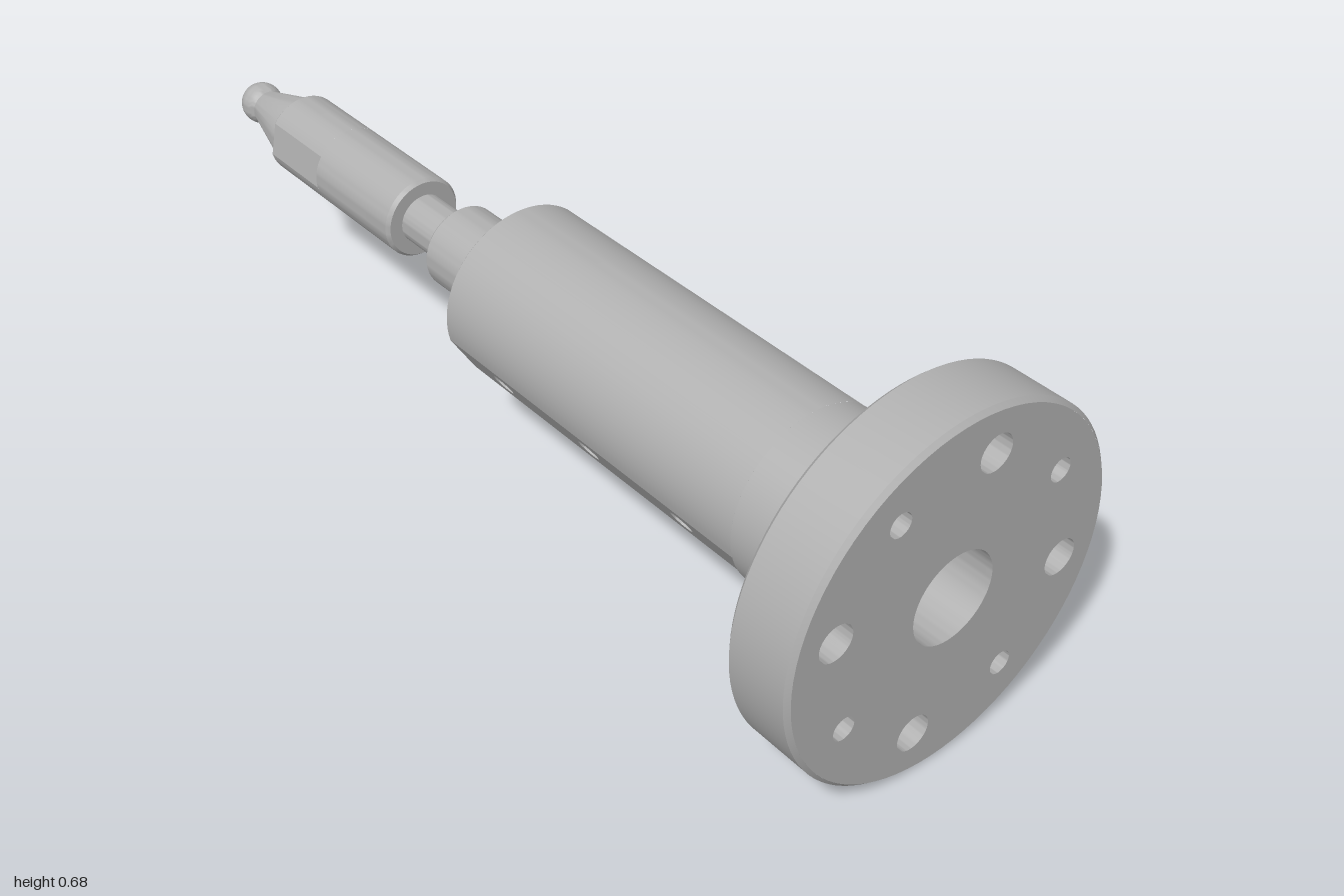
import * as THREE from 'three';
import { toCreasedNormals } from 'three/addons/utils/BufferGeometryUtils.js';

const RAD = Math.PI / 180;

// Turned part along z; points are [radius, z], ascending z faces outward
function turned(points, sides = 64) {
  const g = new THREE.LatheGeometry(points.map(([r, z]) => new THREE.Vector2(r, z)), sides);
  return toCreasedNormals(g.rotateX(Math.PI / 2), 0.45);
}

// Skin through rings [radius, z], with points only at the given angles
function skin(sections, angles) {
  const pos = [], idx = [], n = angles.length;
  for (const [r, z] of sections) for (const t of angles) pos.push(r * Math.cos(t), r * Math.sin(t), z);
  for (let j = 0; j < sections.length - 1; j++) {
    for (let i = 0; i < n - 1; i++) {
      const a = j * n + i, d = a + n;
      idx.push(a, a + 1, d, a + 1, d + 1, d);
    }
  }
  const g = new THREE.BufferGeometry();
  g.setAttribute('position', new THREE.Float32BufferAttribute(pos, 3));
  g.setIndex(idx);
  return toCreasedNormals(g, 0.2);
}

function arc(from, to, steps) {
  return Array.from({ length: steps + 1 }, (_, i) => from + ((to - from) * i) / steps);
}

function circlePath(x, y, r) {
  return new THREE.Path().absarc(x, y, r, 0, Math.PI * 2, true);
}

// Segment wall facing -z where a flat ends
function stepWall(inner, outer, angle, half, z) {
  return new THREE.RingGeometry(inner, outer, 12, 1, Math.PI - angle - half, half * 2)
    .rotateY(Math.PI).translate(0, 0, z);
}

export function createModel() {
  const model = new THREE.Group();
  const steel = new THREE.MeshStandardMaterial({ color: 0xb0b0b0 });
  steel.name = 'steel grey';
  const axis = new THREE.Group();
  axis.name = 'spindleAssembly';
  axis.position.y = 0.34;
  model.add(axis);
  const add = (name, geometry) => {
    const mesh = new THREE.Mesh(geometry, steel);
    mesh.name = name;
    axis.add(mesh);
  };

  // Flange plate with two bolt patterns and a central bore
  const plate = new THREE.Shape().absarc(0, 0, 0.332, 0, Math.PI * 2, false);
  plate.holes.push(circlePath(0, 0, 0.085));
  for (let i = 0; i < 4; i++) {
    for (const [deg, r] of [[78.3, 0.034], [33.3, 0.022]]) {
      const t = (deg + i * 90) * RAD;
      plate.holes.push(circlePath(0.255 * Math.cos(t), 0.255 * Math.sin(t), r));
    }
  }
  const plateGeometry = new THREE.ExtrudeGeometry(plate, { depth: 0.13, bevelEnabled: false, curveSegments: 40 });
  add('flangePlate', toCreasedNormals(plateGeometry.translate(0, 0, 0.87), 0.45));
  add('flangeRim', turned([[0.332, 0.87], [0.34, 0.878], [0.34, 0.992], [0.332, 1]], 96));

  // Sleeve: round collar by the flange, then two opposite flats with screw holes
  const R = 0.167, half = 17 * RAD, flat = R * Math.cos(half), tall = R * Math.sin(half);
  const zBack = -0.07, zEdge = -0.062, zStep = 0.69;
  add('sleeveCollar', turned([[R, zStep], [R, 0.87]]));
  add('sleeveBore', turned([[0.085, 0.88], [0.085, zBack]]));
  const rim = [[0.085, zBack], [0.092, zBack], [R - 0.008, zBack], [R, zEdge]];
  for (let s = 0; s < 2; s++) {
    const phi = 33.3 * RAD + s * Math.PI;
    add('sleeveSide', skin([...rim, [R, zStep]], arc(phi + half, phi + Math.PI - half, 28)));
    add('sleeveFlatRim', skin(rim, [phi - half, phi + half]));
    add('sleeveFlatEnd', stepWall(0.1, R, phi, half, zStep));

    const face = new THREE.Shape([
      new THREE.Vector2(-zStep, -tall), new THREE.Vector2(-zEdge, -tall),
      new THREE.Vector2(-zEdge, tall), new THREE.Vector2(-zStep, tall),
    ]);
    for (const z of [0.06, 0.3, 0.54]) {
      face.holes.push(circlePath(-z, 0, 0.024));
      add('screwHole', turned([[0.024, flat], [0.024, 0.075]], 32)
        .rotateY(Math.PI / 2).translate(0, 0, z).rotateZ(phi));
    }
    add('sleeveFlat', new THREE.ShapeGeometry(face, 16)
      .rotateY(Math.PI / 2).translate(flat, 0, 0).rotateZ(phi));
  }

  // Shaft: rear grip, neck and the length inside the sleeve, ending in a centre recess
  const r = 0.083;
  add('shaft', turned([
    [r, -0.62], [r, -0.378], [r - 0.006, -0.37], [0.05, -0.37], [0.05, -0.25],
    [r - 0.006, -0.25], [r, -0.243], [r, 0.592], [0.076, 0.6], [0.052, 0.6],
    [0.052, 0.59], [0.03, 0.59], [0.03, 0.58], [0.021, 0.58], [0, 0.55],
  ]));

  // Grip end with two opposite wrench flats
  const gripAngle = -10 * RAD, gripHalf = 24 * RAD, gripAngles = [];
  for (let s = 0; s < 2; s++) {
    const phi = gripAngle + s * Math.PI;
    gripAngles.push(...arc(phi + gripHalf, phi + Math.PI - gripHalf, 24));
    add('wrenchFlatEnd', stepWall(0.04, r, phi, gripHalf, -0.62));
  }
  gripAngles.push(gripAngles[0] + Math.PI * 2);
  add('wrenchGrip', skin([[0.04, -0.8], [r - 0.008, -0.8], [r, -0.79], [r, -0.62]], gripAngles));

  // Tapered nose with a ball tip
  const ball = arc(0, 125 * RAD, 14).map((t) => [0.043 * Math.sin(t), -0.957 - 0.043 * Math.cos(t)]);
  add('ballNose', turned([...ball, [0.07, -0.808], [0.07, -0.795]], 48));

  return model;
}
